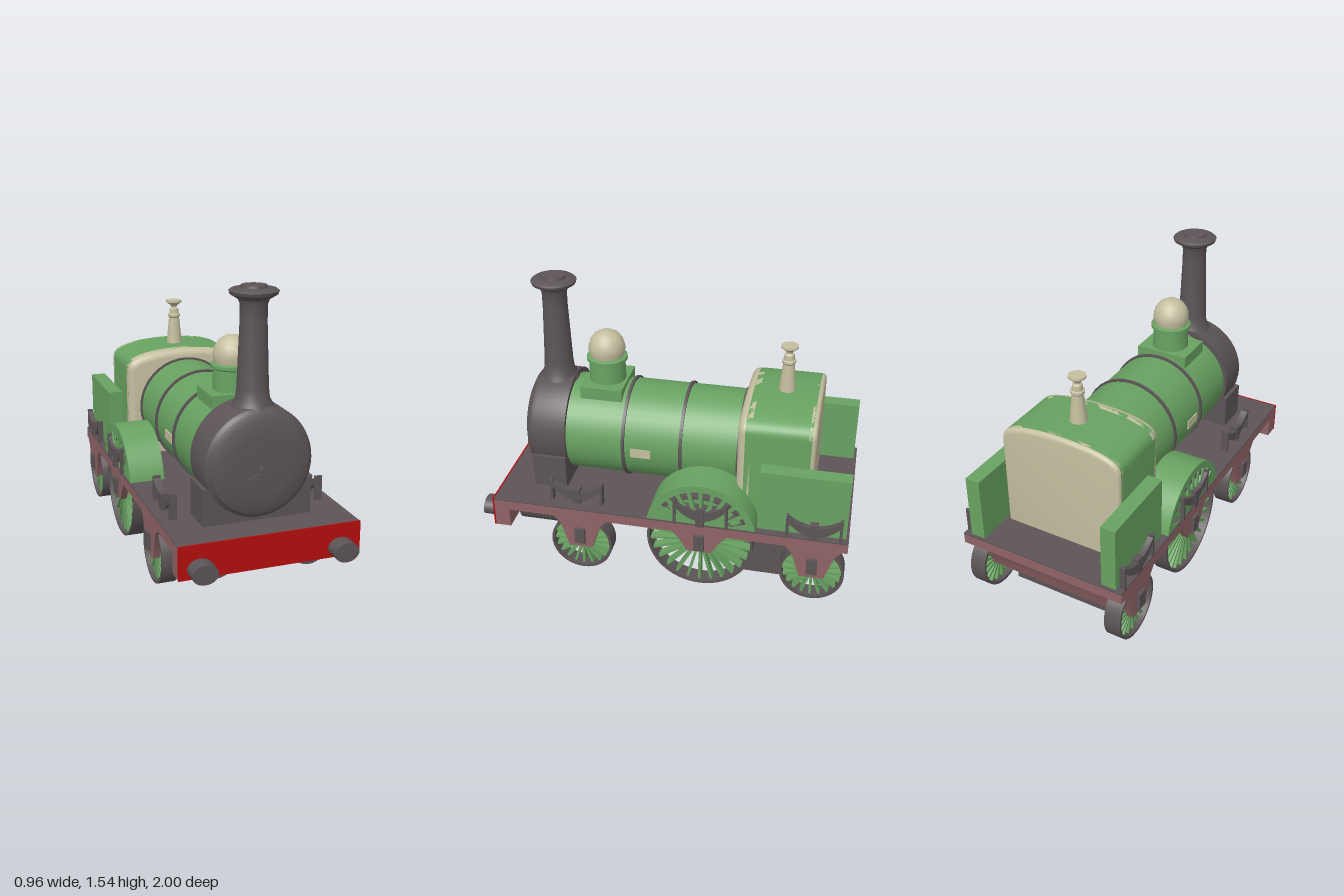
import * as THREE from 'three';
import { toCreasedNormals } from 'three/addons/utils/BufferGeometryUtils.js';

const mat = (name, color) => {
  const m = new THREE.MeshStandardMaterial({ color });
  m.name = name;
  return m;
};

export function createModel() {
  const green = mat('green paint', 0x68a261);
  const grey = mat('dark iron', 0x5c5456);
  const maroon = mat('maroon frame', 0x8f6365);
  const red = mat('red beam', 0xb50e0e);
  const cream = mat('cream metal', 0xc4bf9f);

  const model = new THREE.Group();
  model.name = 'steamLocomotive';
  const V = (x, y) => new THREE.Vector2(x, y);

  const add = (name, geo, material, parent = model) => {
    const m = new THREE.Mesh(geo, material);
    m.name = name;
    parent.add(m);
    return m;
  };
  // Box given by its extents
  const box = (name, material, x0, x1, y0, y1, z0, z1, parent) => {
    const g = new THREE.BoxGeometry(x1 - x0, y1 - y0, z1 - z0);
    g.translate((x0 + x1) / 2, (y0 + y1) / 2, (z0 + z1) / 2);
    return add(name, g, material, parent);
  };
  // Turned part; profile is [radius, height] from bottom to top
  const lathe = (profile, seg = 32) =>
    toCreasedNormals(new THREE.LatheGeometry(profile.map(p => V(p[0], p[1])), seg), 0.6);
  // Turned part lying along z
  const latheZ = (profile, seg = 40) => lathe(profile, seg).rotateX(Math.PI / 2);
  // Side outline drawn as (z, y), extruded across x on side s
  const extrudeX = (shape, s, x0, x1) => {
    const g = new THREE.ExtrudeGeometry(shape, { depth: x1 - x0, bevelEnabled: false, curveSegments: 32 });
    g.rotateY(-Math.PI / 2).translate(s > 0 ? x1 : -x0, 0, 0);
    return toCreasedNormals(g, 0.5);
  };
  const ringShape = (r, inner) => {
    const sh = new THREE.Shape().absarc(0, 0, r, 0, Math.PI * 2);
    sh.holes.push(new THREE.Path().absarc(0, 0, inner, 0, Math.PI * 2, true));
    return sh;
  };
  const sector = (Type, r0, r1, a0, a1) => {
    const p = new Type();
    p.absarc(0, 0, r1, a0, a1, false);
    p.absarc(0, 0, r0, a1, a0, true);
    p.closePath();
    return p;
  };

  // Footplate, underside and beams
  box('footplate', maroon, -0.465, 0.465, 0.35, 0.404, -1, 0.92);
  box('deck', grey, -0.465, 0.465, 0.404, 0.411, -1, 0.92);
  box('frontBeam', maroon, -0.465, 0.465, 0.24, 0.35, 0.83, 0.914);
  box('bufferBeamFace', red, -0.467, 0.467, 0.24, 0.412, 0.914, 0.922);
  box('ashPan', grey, -0.305, 0.305, 0.02, 0.36, -0.79, -0.42);

  // Axles: position, axle height, wheel radius, spokes, bottom of the axle guard
  const axles = [
    { z: 0.43, y: 0.18, r: 0.17, n: 20, low: 0.165, box: 0.245 },
    { z: -0.225, y: 0.293, r: 0.285, n: 26, low: 0.235, box: 0.3 },
    { z: -0.825, y: 0.18, r: 0.17, n: 20, low: 0.165, box: 0.245 },
  ];
  for (const a of axles) {
    const guard = new THREE.Shape([
      V(a.z - 0.155, 0.36), V(a.z - 0.11, 0.31), V(a.z - 0.065, a.low),
      V(a.z + 0.065, a.low), V(a.z + 0.11, 0.31), V(a.z + 0.155, 0.36),
    ]);
    add('axleGuard', extrudeX(guard, 1, -0.465, 0.465), maroon);
    for (const s of [-1, 1]) {
      const wheel = new THREE.Group();
      wheel.name = 'wheel';
      wheel.position.set(0, a.y, a.z);
      model.add(wheel);
      add('tyre', extrudeX(ringShape(a.r, a.r - 0.014), s, 0.36, 0.45), grey, wheel);
      const hub = add('hub', new THREE.CylinderGeometry(0.035, 0.035, 0.08, 20).rotateZ(Math.PI / 2), green, wheel);
      hub.position.x = s * 0.405;
      for (let i = 0; i < a.n; i++) {
        const spoke = new THREE.BoxGeometry(0.05, a.r - 0.03, 0.014);
        spoke.translate(s * 0.405, (a.r + 0.01) / 2, 0).rotateX((i / a.n) * Math.PI * 2);
        add('spoke', spoke, green, wheel);
      }
      const x = s * 0.472;
      box('axleBox', grey, x - 0.01, x + 0.01, a.box - 0.05, a.box + 0.045, a.z - 0.028, a.z + 0.028);
    }
  }

  // Leaf springs: a sagging crescent, end posts and a centre buckle
  const springs = [[0.46, 0.41, 0.37, 0.41], [-0.23, 0.43, 0.455, 0.478], [-0.82, 0.41, 0.435, 0.465]];
  for (const [z, y, x0, x1] of springs) for (const s of [-1, 1]) {
    const leaf = new THREE.Shape();
    leaf.moveTo(z - 0.14, y + 0.125);
    leaf.quadraticCurveTo(z, y + 0.015, z + 0.14, y + 0.125);
    leaf.lineTo(z + 0.13, y + 0.085);
    leaf.quadraticCurveTo(z, y - 0.055, z - 0.13, y + 0.085);
    add('leafSpring', extrudeX(leaf, s, x0, x1), grey);
    const [a, b] = s > 0 ? [x0, x1] : [-x1, -x0];
    for (const e of [-1, 1])
      box('springHanger', grey, a, b, 0.41, y + 0.13, z + e * 0.138 - 0.007, z + e * 0.138 + 0.007);
    box('springBuckle', grey, a - 0.004, b + 0.004, 0.41, y + 0.09, z - 0.022, z + 0.022);
  }

  for (const s of [-1, 1]) {
    // Buffers and cylinders
    const buffer = add('buffer', new THREE.CylinderGeometry(0.05, 0.05, 0.08, 28).rotateX(Math.PI / 2), grey);
    buffer.scale.x = 1.3;
    buffer.position.set(s * 0.36, 0.292, 0.96);
    const cyl = add('cylinder', new THREE.CylinderGeometry(0.105, 0.105, 0.24, 32).rotateX(Math.PI / 2), grey);
    cyl.position.set(s * 0.245, 0.275, 0.7);

    // Splasher over the driving wheel, with a slotted outer face
    const splasher = new THREE.Group();
    splasher.name = 'splasher';
    splasher.position.set(0, 0.36, -0.23);
    model.add(splasher);
    const a0 = 0.17, a1 = Math.PI - 0.17;
    add('splasherArch', extrudeX(sector(THREE.Shape, 0.28, 0.293, a0, a1), s, 0.27, 0.462), green, splasher);
    const half = new THREE.Shape().absarc(0, 0, 0.285, a0, a1);
    add('splasherInnerWall', extrudeX(half, s, 0.27, 0.28), green, splasher);
    const face = new THREE.Shape().absarc(0, 0, 0.285, a0, a1);
    for (let i = 0; i < 10; i++) {
      const c = 0.42 + i * (Math.PI - 0.84) / 9;
      face.holes.push(sector(THREE.Path, 0.15, 0.255, c - 0.085, c + 0.085));
    }
    add('splasherFace', extrudeX(face, s, 0.453, 0.46), green, splasher);

    // Side bunkers and plates on the boiler
    const [b0, b1] = s > 0 ? [0.345, 0.425] : [-0.425, -0.345];
    box('sideBunker', green, b0, b1, 0.41, 0.76, -0.985, -0.525);
    box('boilerPlate', cream, s * 0.266 - 0.004, s * 0.266 + 0.004, 0.655, 0.705, 0.08, 0.19);
  }

  // Boiler and bands
  const at = (mesh, x, y, z) => mesh.position.set(x, y, z);
  at(add('boiler', latheZ([[0, -0.45], [0.265, -0.45], [0.265, 0.57], [0, 0.57]]), green), 0, 0.695, 0);
  for (const z of [0.232, -0.08, -0.388]) {
    const band = [[0.26, -0.008], [0.276, -0.008], [0.276, 0.008], [0.26, 0.008]];
    at(add('boilerBand', latheZ(band), grey), 0, 0.695, z);
  }

  // Smokebox with domed door and handle
  at(add('smokebox', latheZ([[0, 0.55], [0.283, 0.55], [0.283, 0.72], [0.276, 0.745],
    [0.262, 0.755], [0.255, 0.768], [0.225, 0.782], [0.15, 0.788], [0, 0.79]], 48), grey), 0, 0.705, 0);
  box('smokeboxSaddle', grey, -0.285, 0.28, 0.41, 0.6, 0.555, 0.74);
  at(add('doorKnob', new THREE.CylinderGeometry(0.02, 0.02, 0.03, 16).rotateX(Math.PI / 2), grey), 0, 0.685, 0.8);
  for (const angle of [0, -1.1]) {
    const rod = new THREE.BoxGeometry(0.008, 0.09, 0.008).translate(0, -0.045, 0).rotateZ(angle);
    at(add('doorHandle', rod, grey), 0, 0.685, 0.808);
  }

  // Chimney
  at(add('chimney', lathe([[0.12, 0.93], [0.1, 0.98], [0.084, 1.01], [0.078, 1.06], [0.066, 1.38],
    [0.066, 1.46], [0.075, 1.485], [0.115, 1.51], [0.12, 1.525], [0.107, 1.535], [0.065, 1.54],
    [0.062, 1.552], [0, 1.552]]), grey), 0, 0, 0.65);

  // Steam dome
  box('domeBase', green, -0.148, 0.148, 0.915, 0.982, 0.262, 0.49);
  at(add('domeDrum', lathe([[0.1, 0.97], [0.097, 1.09], [0.11, 1.098], [0.11, 1.114], [0.098, 1.12], [0, 1.12]]),
    green), 0, 0, 0.375);
  at(add('domeCap', lathe([[0.09, 1.115], [0.099, 1.15], [0.098, 1.175], [0.088, 1.208], [0.067, 1.237],
    [0.035, 1.256], [0, 1.261]], 20), cream), 0, 0, 0.375);

  // Firebox: green wrapper between cream rounded end covers
  const fireboxOutline = w => {
    const sh = new THREE.Shape();
    sh.moveTo(-w, 0.37);
    sh.lineTo(w, 0.37);
    sh.lineTo(w, 0.91);
    sh.quadraticCurveTo(w, 0.955, w - 0.045, 0.978);
    sh.quadraticCurveTo(w - 0.13, 1.018, 0, 1.02);
    sh.quadraticCurveTo(0.13 - w, 1.018, 0.045 - w, 0.978);
    sh.quadraticCurveTo(-w, 0.955, -w, 0.91);
    return sh;
  };
  const firebox = (name, material, z0, z1, bevel) => {
    const g = new THREE.ExtrudeGeometry(fireboxOutline(0.335), {
      depth: z1 - z0 - 2 * bevel, bevelEnabled: bevel > 0, bevelThickness: bevel,
      bevelSize: bevel, bevelOffset: -bevel, bevelSegments: 4, curveSegments: 6,
    });
    add(name, toCreasedNormals(g.translate(0, 0, z0 + bevel), 0.6), material);
  };
  firebox('fireboxWrapper', green, -0.768, -0.43, 0);
  firebox('fireboxFront', cream, -0.5, -0.39, 0.04);
  firebox('fireboxBack', cream, -0.79, -0.73, 0.022);

  // Safety valve
  at(add('safetyValve', lathe([[0.046, 1.01], [0.043, 1.04], [0.03, 1.17], [0.036, 1.178], [0.036, 1.19],
    [0.028, 1.195], [0.026, 1.222], [0.016, 1.23], [0.018, 1.24], [0.045, 1.262], [0.045, 1.273],
    [0, 1.273]], 24), cream), 0, 0, -0.6);

  return model;
}
